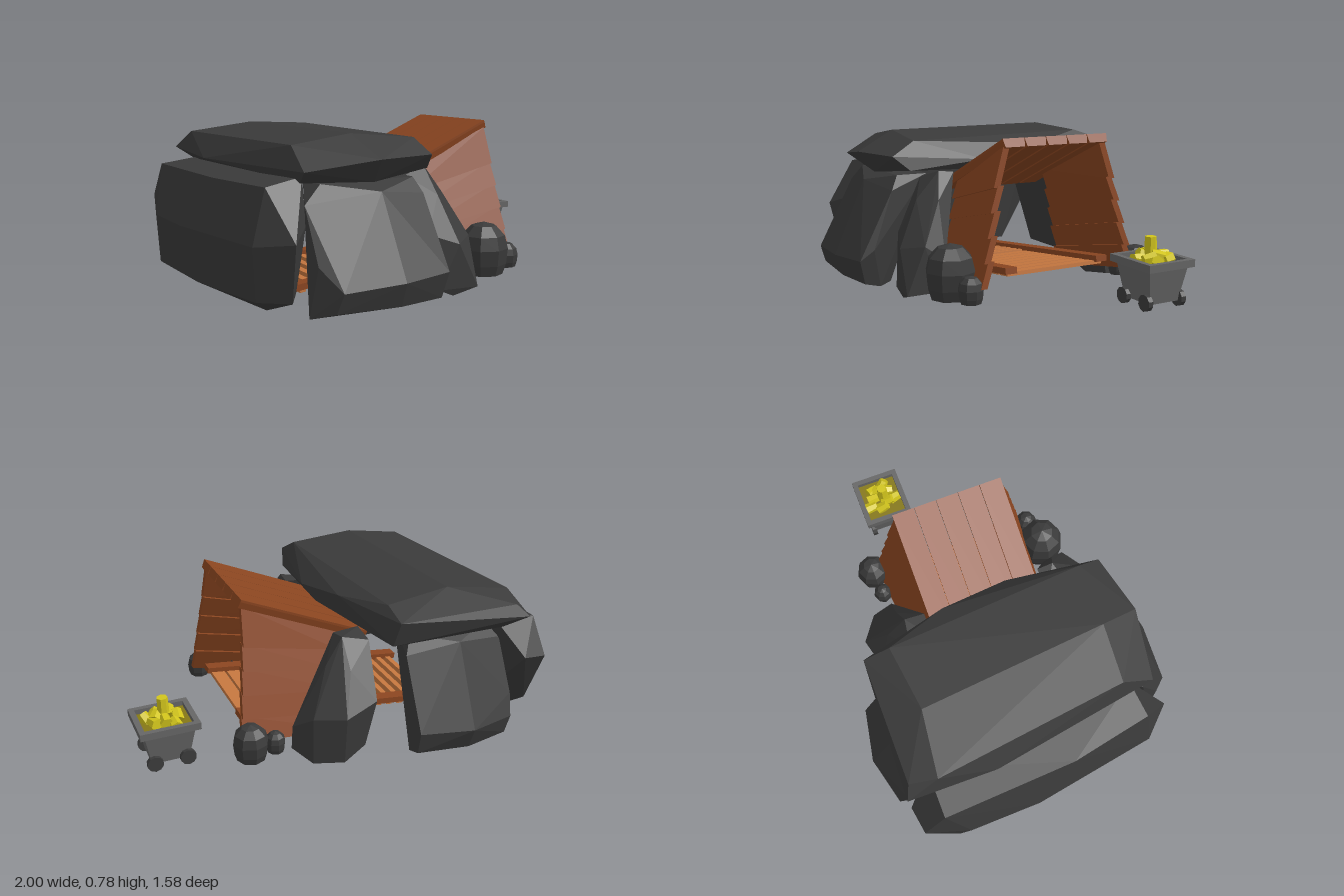
import * as THREE from 'three';
import { ConvexGeometry } from 'three/addons/geometries/ConvexGeometry.js';

const mat = (color, side = THREE.FrontSide) => new THREE.MeshStandardMaterial({ color, flatShading: true, side });
const ROCK = mat(0x3a3a3a), WOOD = mat(0x8a4520), SLAT = mat(0xc4763f);
const STEEL = mat(0x666666, THREE.DoubleSide), DARK = mat(0x3c3c3c), GOLD = mat(0xd2c51c), ORE = mat(0x857717);

function add(parent, name, geometry, material, x = 0, y = 0, z = 0) {
  const m = new THREE.Mesh(geometry, material);
  m.name = name;
  m.position.set(x, y, z);
  parent.add(m);
  return m;
}

// Faceted solid wrapped around a few corner points
const hull = (pts) => new ConvexGeometry(pts.map((p) => new THREE.Vector3(...p)));

function buildRocks(root) {
  const g = new THREE.Group();
  g.name = 'rocks';
  root.add(g);
  add(g, 'roofSlab', hull([
    [-0.78, 0.73, -0.52], [-0.68, 0.73, 0.42], [-0.47, 0.77, -0.48], [-0.4, 0.77, 0.44],
    [-0.14, 0.75, -0.52], [-0.08, 0.74, 0.46], [-0.81, 0.64, -0.68], [-0.82, 0.62, -0.25],
    [-0.7, 0.63, 0.58], [-0.36, 0.67, 0.64], [-0.06, 0.67, 0.58], [0.015, 0.64, 0.12],
    [-0.03, 0.7, -0.22], [-0.14, 0.71, -0.65], [-0.75, 0.7, -0.65], [-0.72, 0.57, -0.6], [-0.68, 0.575, 0.5],
    [-0.35, 0.565, 0.56], [-0.03, 0.6, 0.5], [-0.01, 0.59, 0], [-0.12, 0.59, -0.62],
  ]), ROCK);
  add(g, 'backSlab', hull([
    [-0.93, 0.57, -0.55], [-0.91, 0.57, 0.1], [-0.84, 0.57, 0.5], [-0.7, 0.6, -0.55], [-0.66, 0.6, 0.48],
    [-0.94, 0.4, -0.66], [-1, 0.33, -0.45], [-1, 0.33, -0.1], [-0.91, 0.33, 0.52], [-0.78, 0.35, 0.66],
    [-0.68, 0.4, 0.55], [-0.81, 0.42, -0.68], [-0.97, 0.08, -0.5], [-0.96, 0.08, 0],
    [-0.89, 0.09, 0.5], [-0.77, 0.09, 0.6], [-0.88, 0.035, -0.45], [-0.82, 0.035, 0.45],
    [-0.72, 0.06, -0.4], [-0.68, 0.09, 0.45],
  ]), ROCK);
  // Side rocks are thick plates leaning inwards under the roof
  add(g, 'frontSideRock', hull([
    [-0.69, 0.49, 0.56], [-0.6, 0.57, 0.53], [-0.13, 0.57, 0.53], [-0.1, 0.5, 0.57], [-0.35, 0.53, 0.62],
    [-0.69, 0.25, 0.68], [-0.62, 0.15, 0.77], [-0.33, 0.16, 0.79], [-0.08, 0.17, 0.75], [-0.07, 0.22, 0.68],
    [-0.64, 0.06, 0.74], [-0.33, 0.05, 0.75], [-0.1, 0.05, 0.72], [-0.72, 0.03, 0.65],
    [-0.1, 0.03, 0.64], [-0.66, 0.04, 0.57], [-0.14, 0.04, 0.57], [-0.6, 0.57, 0.37], [-0.13, 0.57, 0.37],
  ]), ROCK);
  add(g, 'rearSideRock', hull([
    [-0.73, 0.5, -0.56], [-0.66, 0.58, -0.52], [-0.26, 0.58, -0.52], [-0.22, 0.5, -0.57], [-0.48, 0.54, -0.61],
    [-0.74, 0.25, -0.68], [-0.72, 0.15, -0.73], [-0.48, 0.16, -0.79], [-0.22, 0.17, -0.74],
    [-0.7, 0.06, -0.72], [-0.48, 0.05, -0.75], [-0.22, 0.06, -0.72], [-0.72, 0.03, -0.65],
    [-0.22, 0.03, -0.64], [-0.66, 0.04, -0.57], [-0.26, 0.04, -0.57], [-0.6, 0.57, -0.37], [-0.26, 0.57, -0.37],
  ]), ROCK);
  add(g, 'frontEntranceRock', hull([
    [-0.1, 0.56, 0.42], [0.03, 0.6, 0.38], [-0.1, 0.58, 0.3], [0.03, 0.59, 0.3], [0.11, 0.47, 0.42],
    [0.03, 0.47, 0.5], [-0.06, 0.3, 0.56], [0.08, 0.25, 0.61], [0.19, 0.27, 0.53], [0.2, 0.2, 0.43],
    [-0.02, 0.04, 0.59], [0.06, 0.005, 0.59], [0.18, 0.04, 0.62], [0.21, 0.05, 0.47],
    [-0.02, 0.04, 0.46], [0.1, 0.03, 0.44],
  ]), ROCK);
  add(g, 'rearEntranceRock', hull([
    [-0.1, 0.54, -0.42], [0.03, 0.57, -0.4], [-0.1, 0.56, -0.3], [0.03, 0.55, -0.3], [0.12, 0.45, -0.42],
    [0.03, 0.44, -0.5], [-0.07, 0.3, -0.58], [0.1, 0.26, -0.62], [0.23, 0.24, -0.53], [0.29, 0.16, -0.42],
    [-0.02, 0.07, -0.57], [0.1, 0.02, -0.6], [0.24, 0.02, -0.55], [0.3, 0.05, -0.43],
    [-0.02, 0.05, -0.45], [0.12, 0.02, -0.43],
  ]), ROCK);

  // Loose boulders: x, z, radius, base, top
  for (const [x, z, r, y0, y1] of [[0.33, 0.47, 0.12, 0.055, 0.31], [0.49, 0.45, 0.06, 0.065, 0.19],
    [0.51, -0.45, 0.085, 0.065, 0.24], [0.385, -0.44, 0.048, 0.065, 0.17]]) {
    const geo = new THREE.SphereGeometry(1, 8, 6);
    const p = geo.attributes.position;
    // Straight sides and a flat foot below the dome
    for (let i = 0; i < p.count; i++) {
      if (p.getY(i) < -0.4) {
        const s = p.getY(i) < -0.95 ? 0 : p.getY(i) < -0.8 ? 1.6 : 1.08;
        p.setXYZ(i, p.getX(i) * s, p.getY(i) < -0.8 ? -1 : -0.6, p.getZ(i) * s);
      }
    }
    geo.scale(r, (y1 - y0) / 2, r);
    add(g, 'boulder', geo, ROCK, x, (y0 + y1) / 2, z);
  }
}

function buildEntrance(root) {
  const g = new THREE.Group();
  g.name = 'timberEntrance';
  root.add(g);

  // Sloping canopy of boards, each a little wider on top than below
  const canopy = new THREE.Group();
  canopy.name = 'canopy';
  canopy.position.set(0.165, 0.632, -0.004);
  canopy.rotation.z = Math.atan2(0.205, 0.48);
  g.add(canopy);
  for (let i = -2; i <= 2; i++) {
    const pts = [];
    for (const x of [-0.345, 0.345]) {
      for (const s of [-1, 1]) pts.push([x, 0.021, s * 0.055], [x, 0.01, s * 0.055], [x, -0.021, s * 0.049]);
    }
    add(canopy, 'canopyBoard', hull(pts), WOOD, 0, 0, i * 0.113);
  }

  // Flared side walls of overlapping, fanned boards
  const inner = [0.57, 0.46, 0.36, 0.26, 0.15, 0.06], outer = [0.75, 0.58, 0.47, 0.36, 0.25, 0.14];
  const wallZ = (x, y) => 0.25 + 0.2 * (0.73 - y) - 0.12 * (0.5 - x);
  for (const s of [-1, 1]) {
    for (let i = 0; i < 5; i++) {
      const xo = 0.475 + i * 0.013, pts = [];
      for (const [x, y, lap] of [[0, inner[i], 0], [xo, outer[i], 0],
        [0, inner[i + 1] - 0.008, 0.018], [xo + 0.012, outer[i + 1] - 0.008, 0.018]]) {
        const z = wallZ(x, y) + lap;
        pts.push([x, y, s * z], [x, y, s * (z + 0.032)]);
      }
      add(g, 'wallBoard', hull(pts), WOOD);
    }
  }

  // Ramp floor dropping inwards: broad outer slats, narrow deep inner ones, two side rails
  const floor = new THREE.Group();
  floor.name = 'floor';
  floor.position.set(-0.045, 0.107, 0);
  floor.rotation.z = 0.118;
  g.add(floor);
  for (let i = 0; i < 8; i++) {
    add(floor, 'outerSlat', new THREE.BoxGeometry(0.07, 0.018, 0.52), SLAT, 0.5 - i * 0.083, 0, 0);
  }
  for (let i = 0; i < 7; i++) {
    add(floor, 'innerSlat', new THREE.BoxGeometry(0.03, 0.03, 0.52), SLAT, -0.15 - i * 0.06, 0, 0);
  }
  for (const s of [-1, 1]) add(floor, 'floorRail', new THREE.BoxGeometry(1.11, 0.03, 0.06), WOOD, 0, 0.018, s * 0.25);
}

function buildCart(root) {
  const g = new THREE.Group();
  g.name = 'mineCart';
  g.position.set(0.86, 0, -0.265);
  root.add(g);

  // Tapered bin, four-sided
  const bin = new THREE.CylinderGeometry(0.12 * Math.SQRT2, 0.088 * Math.SQRT2, 0.17, 4, 1, true);
  bin.rotateY(Math.PI / 4).scale(1, 1, 0.9);
  add(g, 'bin', bin, STEEL, 0, 0.165, 0);
  add(g, 'binBase', new THREE.BoxGeometry(0.176, 0.012, 0.158), STEEL, 0, 0.084, 0);
  for (const s of [-1, 1]) {
    add(g, 'rimLong', new THREE.BoxGeometry(0.28, 0.034, 0.026), STEEL, 0, 0.253, s * 0.113);
    add(g, 'rimShort', new THREE.BoxGeometry(0.026, 0.034, 0.2), STEEL, s * 0.127, 0.253, 0);
    add(g, 'axle', new THREE.CylinderGeometry(0.01, 0.01, 0.18, 6).rotateX(Math.PI / 2), DARK, s * 0.077, 0.088, 0);
    for (const t of [-1, 1]) {
      add(g, 'wheel', new THREE.CylinderGeometry(0.038, 0.038, 0.024, 10).rotateX(Math.PI / 2), DARK, s * 0.077, 0.088, t * 0.092);
    }
  }
  add(g, 'oreBed', new THREE.BoxGeometry(0.228, 0.02, 0.2), ORE, 0, 0.236, 0);

  // Heap of chunky ore around one upright piece
  add(g, 'oreChunk', new THREE.CylinderGeometry(0.026, 0.03, 0.11, 7), GOLD, 0, 0.307, 0.01);
  for (let i = 0; i < 9; i++) {
    const a = i * 2.4, r = 0.035 + 0.006 * i;
    const c = add(g, 'oreChunk', new THREE.CylinderGeometry(0.024, 0.031, 0.058, 6), GOLD,
      Math.cos(a) * r, 0.291 - r * 0.42, Math.sin(a) * r);
    c.rotation.set(1.2 + 0.3 * Math.sin(i * 3), a, 0.5 * Math.cos(i * 2));
  }
}

export function createModel() {
  const root = new THREE.Group();
  root.name = 'mineEntrance';
  buildRocks(root);
  buildEntrance(root);
  buildCart(root);
  return root;
}
